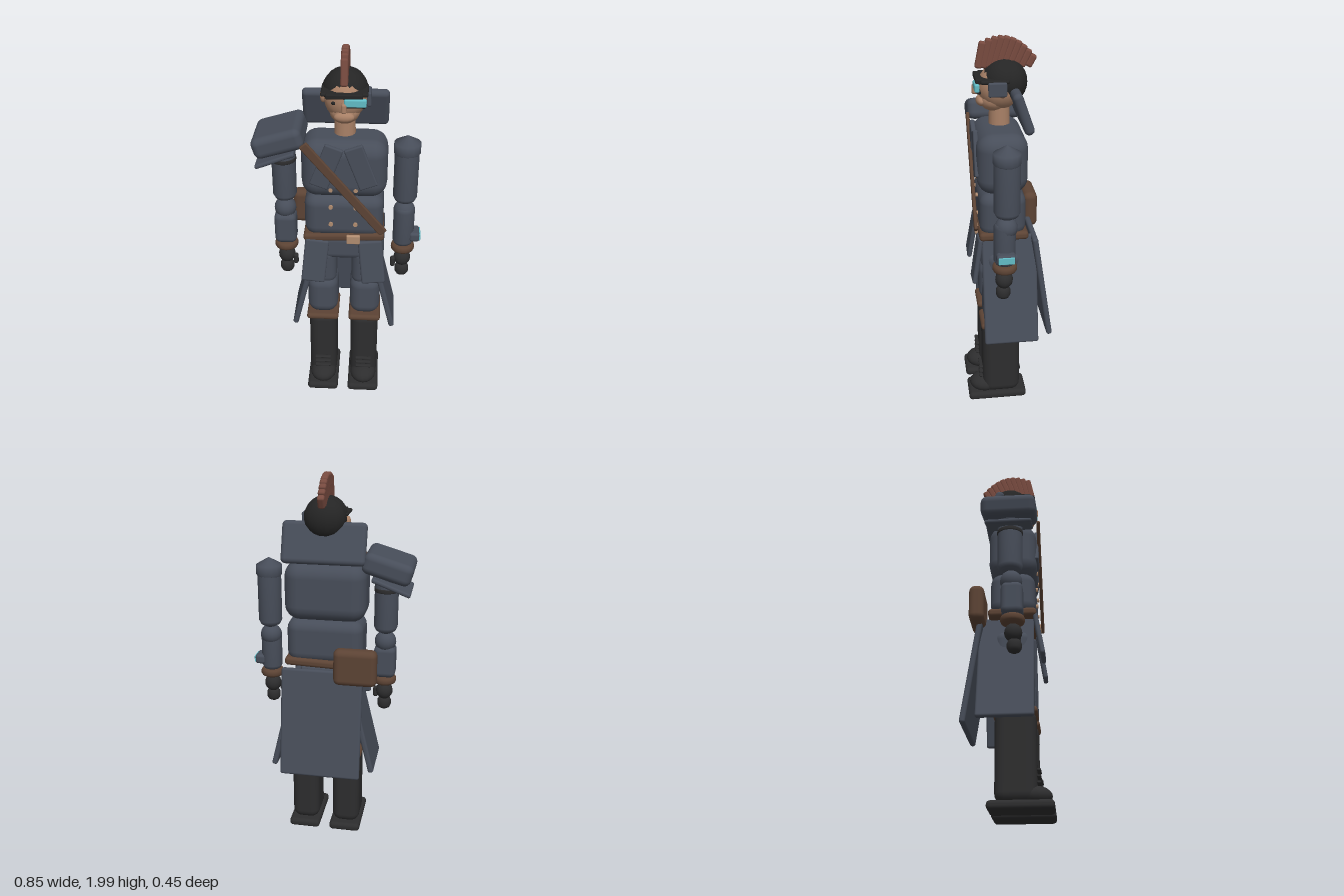
import * as THREE from 'three';
import { RoundedBoxGeometry } from 'three/addons/geometries/RoundedBoxGeometry.js';

const mat = (name, color) => Object.assign(new THREE.MeshStandardMaterial({ color }), { name });

export function createModel() {
  const coat = mat('coat blue grey', 0x474d59);
  const black = mat('boot black', 0x2d2d2e);
  const hairMat = mat('hair black', 0x252525);
  const leather = mat('brown leather', 0x5c4334);
  const crestMat = mat('rust red', 0x774a3f);
  const skin = mat('skin', 0xa88066);
  const brass = mat('brass', 0xb08c70);
  const cyan = mat('cyan glass', 0x62bcc6);

  const model = new THREE.Group();
  model.name = 'coatedFigure';
  const CX = 0.03; // body midline

  const add = (name, geo, m, pos, rot = [0, 0, 0], scale = [1, 1, 1]) => {
    const mesh = new THREE.Mesh(geo, m);
    mesh.name = name;
    mesh.position.set(...pos);
    mesh.rotation.set(...rot);
    mesh.scale.set(...scale);
    model.add(mesh);
    return mesh;
  };
  const box = (name, m, [w, h, d], r, pos, rot) =>
    add(name, new RoundedBoxGeometry(w, h, d, 3, Math.min(r, w / 2.01, h / 2.01, d / 2.01)), m, pos, rot);
  const ball = (name, m, [rx, ry, rz], pos, seg = 16) =>
    add(name, new THREE.SphereGeometry(1, seg, 12), m, pos, [0, 0, 0], [rx, ry, rz]);
  // Turned limb section with rounded ends
  const limb = (name, m, r, h, bevel, pos, sz = 1) => {
    const pts = [[0, -h / 2], [r - bevel, -h / 2], [r - bevel * 0.3, -h / 2 + bevel * 0.4], [r, -h / 2 + bevel],
      [r, h / 2 - bevel], [r - bevel * 0.3, h / 2 - bevel * 0.4], [r - bevel, h / 2], [0, h / 2]];
    return add(name, new THREE.LatheGeometry(pts.map(p => new THREE.Vector2(...p)), 20), m, pos, [0, 0, 0], [1, 1, sz]);
  };

  for (const s of [-1, 1]) {
    const side = s < 0 ? 'right' : 'left';
    const lx = CX + s * 0.115;
    // Boots
    box(side + 'Sole', black, [0.173, 0.046, 0.32], 0.02, [lx, 0.025, 0.07]);
    box(side + 'BootShaft', black, [0.152, 0.46, 0.205], 0.05, [lx, 0.265, 0.047]);
    ball(side + 'BootToe', black, [0.074, 0.05, 0.085], [lx, 0.075, 0.135]);
    for (let i = 0; i < 3; i++)
      box(side + 'Lace' + i, black, [0.09, 0.012, 0.02], 0.005, [lx, 0.135 + i * 0.03, 0.158]);
    // Legs
    box(side + 'KneeBand', leather, [0.175, 0.036, 0.225], 0.017, [lx, 0.482, 0.045]);
    box(side + 'LowerThigh', coat, [0.165, 0.24, 0.205], 0.06, [lx, 0.612, 0.04]);
    box(side + 'UpperThigh', coat, [0.15, 0.23, 0.19], 0.05, [lx, 0.80, 0.035]);
    // Coat skirt
    box(side + 'FrontFlap', coat, [0.125, 0.245, 0.025], 0.012, [CX + s * 0.148, 0.88, 0.172], [-0.16, 0, s * 0.1]);
    box(side + 'SidePanel', coat, [0.03, 0.59, 0.285], 0.012, [CX + s * 0.2, 0.71, 0.003], [0, 0, s * 0.235]);
    // Lapel
    box(side + 'Lapel', coat, [0.095, 0.23, 0.025], 0.008, [CX + s * 0.085, 1.43, 0.163], [0, 0, s * 0.36]);
    // Arm
    const ax = CX + s * 0.31;
    add(side + 'ShoulderCap', new THREE.LatheGeometry([[0, -0.06], [0.055, -0.05], [0.068, -0.03], [0.068, 0.02], [0, 0.06]]
      .map(p => new THREE.Vector2(...p)), 14), coat, [ax, 1.49, 0.035]);
    limb(side + 'UpperArm', coat, 0.062, 0.32, 0.035, [ax, 1.335, 0.035], 1.05);
    ball(side + 'Elbow', coat, [0.057, 0.057, 0.057], [ax, 1.125, 0.04]);
    if (s < 0) box('rightForearm', coat, [0.115, 0.175, 0.11], 0.03, [ax, 1.015, 0.045]);
    else limb('leftForearm', coat, 0.055, 0.24, 0.03, [ax, 1.04, 0.047]);
    limb(side + 'Cuff', leather, 0.062, 0.046, 0.016, [ax, 0.907, 0.047]);
    ball(side + 'Hand', black, [0.045, 0.048, 0.045], [ax, 0.838, 0.05]);
    limb(side + 'Fingers', black, 0.037, 0.075, 0.025, [ax, 0.767, 0.055]);
    box(side + 'Thumb', black, [0.026, 0.06, 0.03], 0.012, [ax - s * 0.05, 0.82, 0.07]);
  }

  // Torso
  box('pelvis', coat, [0.3, 0.15, 0.2], 0.04, [CX, 0.93, 0.03]);
  box('waist', coat, [0.405, 0.24, 0.235], 0.06, [CX, 1.13, 0.037]);
  box('chest', coat, [0.43, 0.31, 0.255], 0.08, [CX, 1.395, 0.037]);
  box('highCollar', coat, [0.43, 0.215, 0.05], 0.024, [CX, 1.655, -0.06], [0.34, 0, 0]);
  box('backPanel', coat, [0.43, 0.59, 0.03], 0.013, [CX, 0.71, -0.167], [0.15, 0, 0]);
  box('belt', leather, [0.418, 0.045, 0.25], 0.018, [CX, 1.015, 0.035], [0, 0, 0.035]);
  box('buckle', brass, [0.07, 0.05, 0.02], 0.006, [0.08, 1.012, 0.164]);
  box('chestStrap', leather, [0.046, 0.63, 0.018], 0.007, [0.033, 1.31, 0.178], [0, 0, 0.69]);
  box('beltBag', leather, [0.225, 0.195, 0.078], 0.032, [-0.147, 1.035, -0.142]);
  for (const x of [-0.035, 0.09])
    for (const y of [1.1, 1.2, 1.3])
      add('button', new THREE.CylinderGeometry(0.011, 0.011, 0.012, 10), brass, [x, y, 0.16], [Math.PI / 2, 0, 0]);

  // Right shoulder armour
  box('pauldron', coat, [0.255, 0.11, 0.285], 0.035, [-0.293, 1.54, 0.033], [0, 0, 0.29]);
  box('pauldronLowerPlate', coat, [0.21, 0.022, 0.24], 0.01, [-0.312, 1.445, 0.033], [0, 0, 0.37]);
  limb('pauldronArmStrap', black, 0.065, 0.025, 0.006, [-0.28, 1.41, 0.035], 1.05);

  // Left wrist device
  box('wristDevice', coat, [0.055, 0.052, 0.095], 0.015, [0.398, 0.985, 0.047]);
  box('wristScreen', cyan, [0.008, 0.036, 0.08], 0.003, [0.426, 0.985, 0.047]);

  // Head
  add('neck', new THREE.CylinderGeometry(0.05, 0.053, 0.12, 16), skin, [CX, 1.62, 0.035]);
  ball('face', skin, [0.103, 0.112, 0.11], [CX, 1.745, 0.033], 18);
  ball('jaw', skin, [0.075, 0.06, 0.075], [CX, 1.685, 0.062]);
  ball('mouth', skin, [0.05, 0.026, 0.025], [CX, 1.678, 0.126]);
  box('nose', skin, [0.026, 0.05, 0.045], 0.011, [CX, 1.735, 0.148]);
  for (const s of [-1, 1]) ball('ear', skin, [0.015, 0.032, 0.022], [CX + s * 0.107, 1.745, 0.03], 10);
  ball('eye', hairMat, [0.014, 0.01, 0.008], [CX - 0.048, 1.748, 0.125], 8);
  // Hair cap: upper dome plus back of the head
  add('hairDome', new THREE.SphereGeometry(0.113, 14, 8, 0, Math.PI * 2, 0, 1.3), hairMat, [CX, 1.768, 0.012]);
  ball('hairBack', hairMat, [0.109, 0.105, 0.085], [CX, 1.77, -0.018], 14);

  // Visor
  box('visorFrame', hairMat, [0.175, 0.024, 0.035], 0.006, [CX, 1.79, 0.14]);
  box('visorBand', hairMat, [0.226, 0.02, 0.14], 0.01, [CX, 1.79, 0.065]);
  box('visorLens', cyan, [0.105, 0.04, 0.025], 0.008, [0.083, 1.762, 0.152]);
  box('visorLensRim', hairMat, [0.09, 0.012, 0.02], 0.004, [0.085, 1.74, 0.143]);
  box('earpiece', coat, [0.022, 0.07, 0.09], 0.008, [0.146, 1.757, 0.055]);

  // Crest: row of tufts fanning toward the back
  const n = 10;
  for (let i = 0; i < n; i++) {
    const t = i / (n - 1);
    const z = 0.135 - t * 0.245;
    const top = 1.945 + 0.055 * Math.sin(Math.PI * Math.min(1, t * 0.85 + 0.12)) - 0.05 * t * t;
    const h = top - 1.835;
    box('crestTuft' + i, crestMat, [0.036, h, 0.036], 0.011,
      [CX, 1.835 + h / 2, z - 0.01], [-0.2 - t * 0.3, 0, 0]);
  }
  return model;
}
